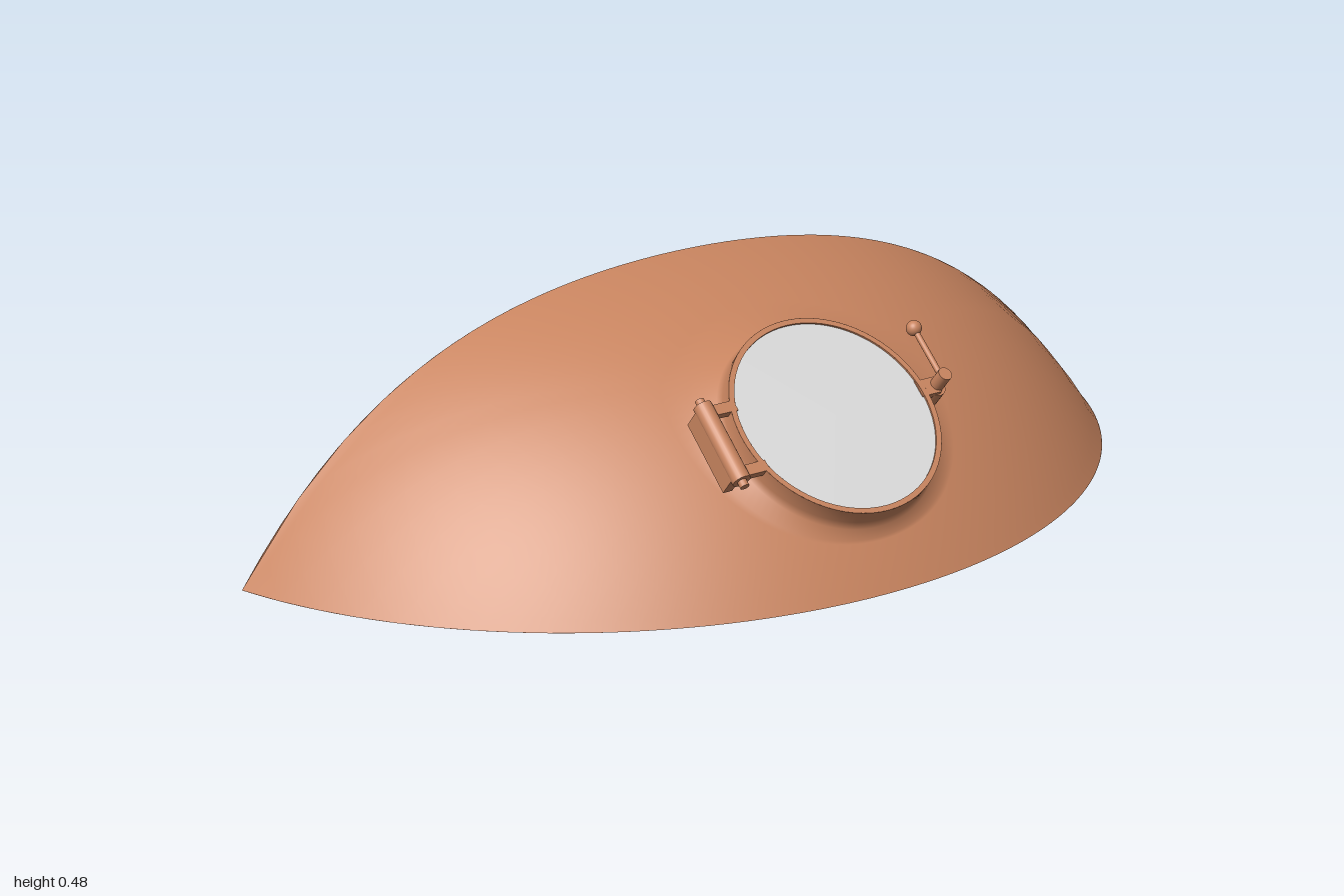
import * as THREE from 'three';

const R = 1.0617, CZ = -0.7117, BACK = -0.355;   // base arc radius, arc centre z, back wall z
const PX = -0.013, PY = 0.285, PZ = 0.1465;      // porthole centre
const TILT = 0.705, C = Math.cos(TILT), S = Math.sin(TILT);
const ARC = 72, LINE = 40;

const copper = new THREE.MeshStandardMaterial({ color: 0xc8845f, side: THREE.DoubleSide });
copper.name = 'copper';
const glass = new THREE.MeshStandardMaterial({ color: 0xdcdcdc, side: THREE.DoubleSide });
glass.name = 'pale glass';

// Dome height over a plan position; k shrinks it for the inner skin
function domeY(x, z, k) {
  const s = (x * x + (z - CZ) ** 2) / (k * k);
  return Math.max(0, k * (0.5131 - 0.201 * s - 0.2256 * s * s));
}

// Point on the tilted porthole axis system: plan angle a, radius, height
function ringPoint(a, rad, h) {
  let u = Math.cos(a), v = Math.sin(a) / C;
  const l = Math.hypot(u, v);
  u *= rad / l;
  v *= rad / l;
  return new THREE.Vector3(PX + u, PY - v * S + h * C, PZ + v * C + h * S);
}

// Height along the porthole axis at which a ring line meets the dome
function hit(a, rad, k) {
  let lo = -0.2, hi = 0.03;
  for (let i = 0; i < 30; i++) {
    const m = (lo + hi) / 2, p = ringPoint(a, rad, m);
    if (p.y > domeY(p.x, p.z, k)) hi = m; else lo = m;
  }
  return hi;
}

// Plan angles, with rays exactly through both back corners
function planAngles(k) {
  const cx = Math.sqrt((R * k) ** 2 - (BACK - CZ) ** 2);
  const right = Math.atan2(BACK - PZ, cx - PX);
  const left = Math.atan2(BACK - PZ, -cx - PX) + Math.PI * 2;
  const out = [];
  for (let i = 0; i < ARC; i++) out.push(right + (left - right) * i / ARC);
  const span = Math.PI * 2 - (left - right);
  for (let i = 0; i < LINE; i++) out.push(left + span * i / LINE);
  return out;
}

// Where a plan ray leaves the base outline
function edgePoint(a, k) {
  const dx = Math.cos(a), dz = Math.sin(a), oz = PZ - CZ;
  const b = PX * dx + oz * dz, c = PX * PX + oz * oz - (R * k) ** 2;
  let t = -b + Math.sqrt(b * b - c);
  if (dz < 0) t = Math.min(t, (BACK - PZ) / dz);
  return [PX + dx * t, PZ + dz * t];
}

// Skin from closed loops; columns[i] lists points from the porthole outward
function loft(columns, flip) {
  const n = columns.length, m = columns[0].length, pos = [], idx = [];
  columns.forEach(col => col.forEach(p => pos.push(p.x, p.y, p.z)));
  for (let i = 0; i < n; i++) for (let j = 0; j < m - 1; j++) {
    const a = i * m + j, b = ((i + 1) % n) * m + j;
    if (flip) idx.push(a, a + 1, b, b, a + 1, b + 1);
    else idx.push(a, b, a + 1, b, b + 1, a + 1);
  }
  const g = new THREE.BufferGeometry();
  g.setAttribute('position', new THREE.Float32BufferAttribute(pos, 3));
  g.setIndex(idx);
  g.computeVertexNormals();
  return g;
}

// Collar flowing through a fillet into the dome
function skin(k, rad, flare) {
  return planAngles(k).map(a => {
    const h = hit(a, rad, k);
    const top = (1 - Math.sin(a)) / 2;
    const fr = rad + flare + flare * 2.5 * top;
    const foot = ringPoint(a, fr, hit(a, fr, k));
    const col = [ringPoint(a, rad, 0), ringPoint(a, rad, h * 0.6), ringPoint(a, rad + 0.007, h * 0.85), foot];
    const [ex, ez] = edgePoint(a, k);
    for (let j = 1; j <= 16; j++) {
      const t = j / 16;
      const x = foot.x + (ex - foot.x) * t, z = foot.z + (ez - foot.z) * t;
      col.push(new THREE.Vector3(x, domeY(x, z, k), z));
    }
    return col;
  });
}

function add(parent, name, geometry, material = copper, x = 0, y = 0, z = 0) {
  const mesh = new THREE.Mesh(geometry, material);
  mesh.name = name;
  mesh.position.set(x, y, z);
  parent.add(mesh);
  return mesh;
}

export function createModel() {
  const model = new THREE.Group();
  model.name = 'domeWithPorthole';
  const K = 0.97;

  add(model, 'outerDome', loft(skin(1, 0.215, 0.022), false));
  add(model, 'innerDome', loft(skin(K, 0.204, 0.018), true));

  // Flat back wall under the dome's cut edge
  const wall = new THREE.Shape();
  wall.moveTo(-1, 0);
  for (let i = 1; i < 48; i++) {
    const x = -1 + i / 24;
    wall.lineTo(x, domeY(x, BACK, 1));
  }
  wall.lineTo(1, 0);
  add(model, 'backWall', new THREE.ShapeGeometry(wall).rotateY(Math.PI), copper, 0, 0, BACK);

  // Flat rim closing the shell underneath
  const rim = new THREE.Shape();
  const arc = k => {
    const half = Math.acos((BACK - CZ) / (R * k)), pts = [];
    for (let i = 0; i <= ARC; i++) {
      const a = -half + 2 * half * i / ARC;
      pts.push(new THREE.Vector2(R * k * Math.sin(a), CZ + R * k * Math.cos(a)));
    }
    return pts;
  };
  rim.setFromPoints([...arc(1), ...arc(K).reverse()]);
  add(model, 'bottomRim', new THREE.ShapeGeometry(rim).rotateX(Math.PI / 2));

  // Porthole fittings: local y points out of the window, -z runs up the slope
  const port = new THREE.Group();
  port.name = 'porthole';
  port.position.set(PX, PY, PZ);
  port.rotation.x = TILT;
  model.add(port);
  add(port, 'collarRim', new THREE.RingGeometry(0.204, 0.215, 72).rotateX(-Math.PI / 2));
  add(port, 'windowPane', new THREE.CircleGeometry(0.205, 72).rotateX(-Math.PI / 2), glass, 0, -0.004, 0);

  // Hinge on the right side
  const hinge = new THREE.Group();
  hinge.name = 'hinge';
  port.add(hinge);
  add(hinge, 'hingeBarrel', new THREE.CylinderGeometry(0.018, 0.018, 0.165, 24).rotateX(Math.PI / 2), copper, -0.255, -0.006, 0);
  add(hinge, 'hingePin', new THREE.CylinderGeometry(0.009, 0.009, 0.19, 16).rotateX(Math.PI / 2), copper, -0.255, -0.006, 0);
  for (const s of [-1, 1]) {
    add(hinge, 'hingeLug', new THREE.BoxGeometry(0.065, 0.016, 0.022), copper, -0.225, -0.008, s * 0.066);
  }
  add(hinge, 'hingeLeaf', new THREE.BoxGeometry(0.02, 0.045, 0.15), copper, -0.262, -0.03, 0);

  // Latch on the left side
  const latch = new THREE.Group();
  latch.name = 'latch';
  latch.position.set(0.245, 0, -0.01);
  port.add(latch);
  add(latch, 'latchBase', new THREE.CylinderGeometry(0.021, 0.021, 0.042, 24), copper, 0, -0.03, 0);
  add(latch, 'latchPost', new THREE.CylinderGeometry(0.014, 0.014, 0.05, 24), copper, 0, 0.011, 0);
  add(latch, 'latchLug', new THREE.BoxGeometry(0.045, 0.014, 0.035), copper, -0.022, -0.008, 0);
  add(latch, 'handleRod', new THREE.CylinderGeometry(0.006, 0.006, 0.115, 16).rotateX(Math.PI / 2), copper, 0, 0.021, -0.058);
  add(latch, 'handleKnob', new THREE.SphereGeometry(0.0155, 24, 16), copper, 0, 0.021, -0.117);

  return model;
}
